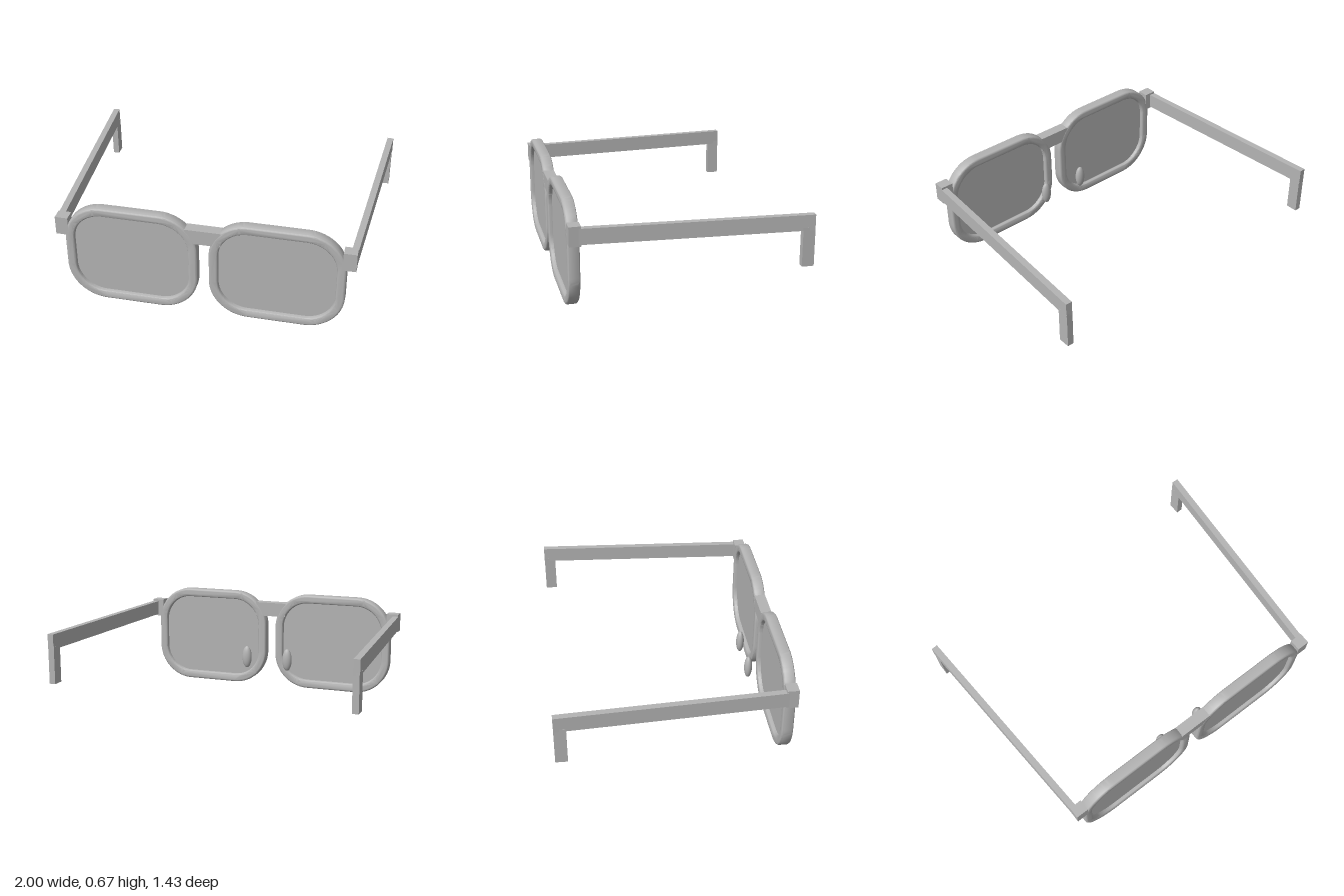
import * as THREE from 'three';
import { toCreasedNormals } from 'three/addons/utils/BufferGeometryUtils.js';

const FRONT_Z = 0.717, BACK_Z = 0.645;

// Rounded rectangle centred on the origin, drawn on a Shape or Path
function roundedRect(path, w, h, r) {
  const x = w / 2 - r, y = h / 2 - r;
  path.absarc(x, y, r, 0, Math.PI / 2);
  path.absarc(-x, y, r, Math.PI / 2, Math.PI);
  path.absarc(-x, -y, r, Math.PI, Math.PI * 1.5);
  path.absarc(x, -y, r, Math.PI * 1.5, Math.PI * 2);
  path.closePath();
  return path;
}

export function createModel() {
  const group = new THREE.Group();
  const grey = new THREE.MeshStandardMaterial({ color: 0xb4b4b4 });
  grey.name = 'plain grey';

  function add(name, geometry, x, y, z) {
    const mesh = new THREE.Mesh(geometry, grey);
    mesh.name = name;
    mesh.position.set(x, y, z);
    group.add(mesh);
    return mesh;
  }

  // Rim: rounded rectangle ring with softened edges
  const bevel = 0.014;
  const rimShape = roundedRect(new THREE.Shape(), 0.826, 0.666, 0.24);
  rimShape.holes.push(roundedRect(new THREE.Path(), 0.712, 0.552, 0.183));
  const rimGeometry = toCreasedNormals(new THREE.ExtrudeGeometry(rimShape, {
    depth: FRONT_Z - BACK_Z - 2 * bevel, curveSegments: 16, bevelEnabled: true,
    bevelThickness: bevel, bevelSize: bevel, bevelOffset: -bevel, bevelSegments: 4,
  }), 0.6);

  // Lens: thin pane seated in the middle of the rim
  const lensGeometry = new THREE.ExtrudeGeometry(
    roundedRect(new THREE.Shape(), 0.72, 0.56, 0.187),
    { depth: 0.02, curveSegments: 16, bevelEnabled: false });

  const midZ = (FRONT_Z + BACK_Z) / 2, depth = FRONT_Z - BACK_Z;
  add('bridge', new THREE.BoxGeometry(0.22, 0.095, depth - 0.002), 0, 0.553, midZ);

  for (const [side, s] of [['left', 1], ['right', -1]]) {
    add(side + 'Rim', rimGeometry, s * 0.448, 0.336, BACK_Z + bevel);
    add(side + 'Lens', lensGeometry, s * 0.448, 0.336, midZ - 0.01);
    add(side + 'Hinge', new THREE.BoxGeometry(0.08, 0.12, depth), s * 0.876, 0.515, midZ);

    // Temple arm splays outward towards the back
    const start = new THREE.Vector2(0.896, 0.66), end = new THREE.Vector2(0.979, -0.714);
    const arm = add(side + 'Temple', new THREE.BoxGeometry(0.04, 0.096, start.distanceTo(end)),
      s * (start.x + end.x) / 2, 0.513, (start.y + end.y) / 2);
    arm.rotation.y = -s * Math.atan((end.x - start.x) / (start.y - end.y));

    // Ear hook hanging from the back end of the arm
    add(side + 'EarHook', new THREE.BoxGeometry(0.04, 0.24, 0.074), s * 0.977, 0.363, -0.677);

    // Nose pad: a flattened ellipsoid behind the lens
    const pad = add(side + 'NosePad', new THREE.SphereGeometry(1, 24, 16), s * 0.15, 0.214, 0.574);
    pad.scale.set(0.034, 0.078, 0.026);
  }
  return group;
}
